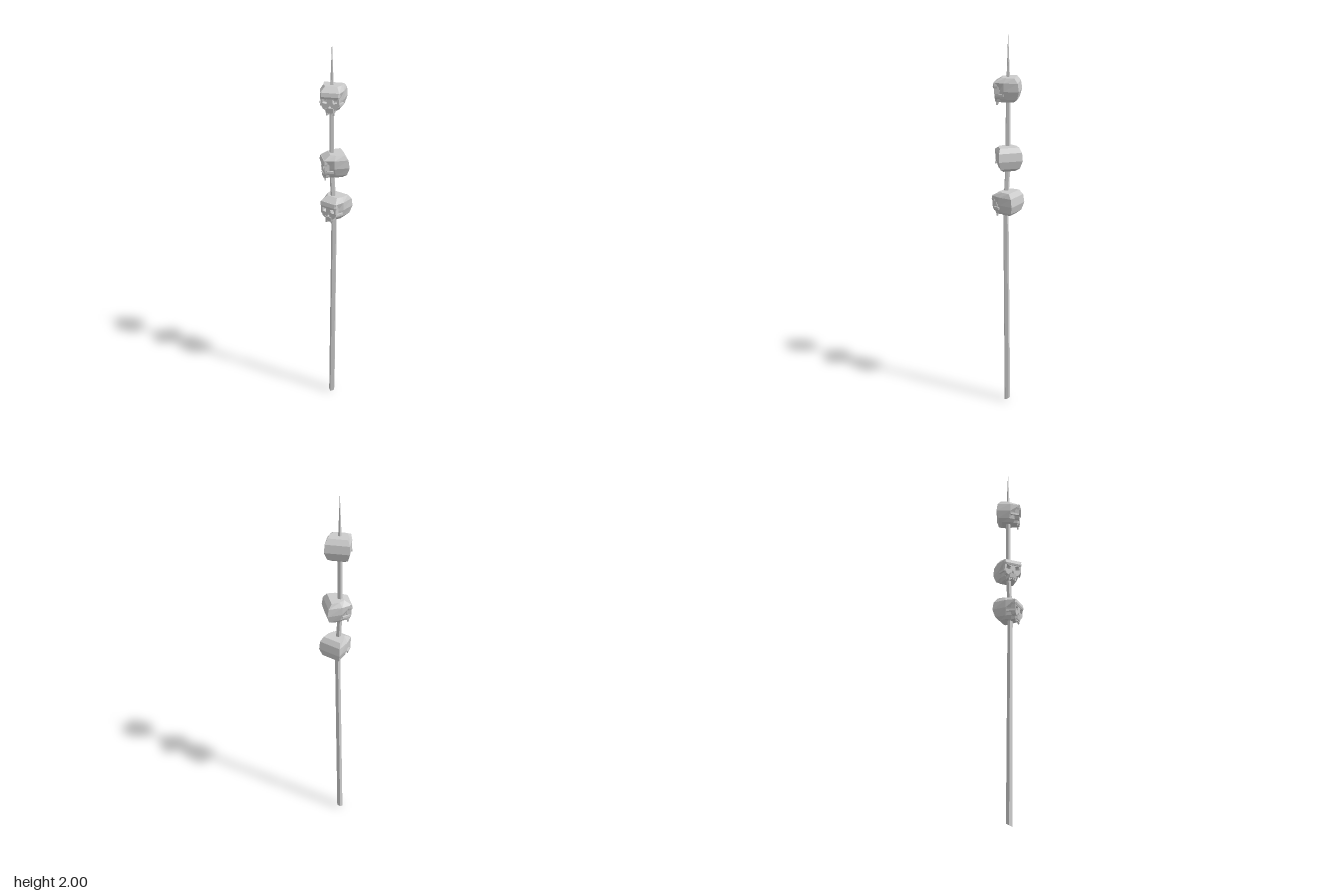
import * as THREE from 'three';

const bone = new THREE.MeshStandardMaterial({ color: 0xcccccc, flatShading: true, side: THREE.DoubleSide });

function add(parent, name, geometry, x = 0, y = 0, z = 0) {
  const mesh = new THREE.Mesh(geometry, bone);
  mesh.name = name;
  mesh.position.set(x, y, z);
  parent.add(mesh);
  return mesh;
}

// Closed solid through a stack of rings, given bottom to top, counterclockwise from above
function loft(rings) {
  const n = rings[0].length, pos = [];
  const tri = (...pts) => pts.forEach((p) => pos.push(...p));
  const middle = (ring) => [0, 1, 2].map((k) => ring.reduce((s, p) => s + p[k], 0) / n);
  const low = rings[0], high = rings[rings.length - 1];
  const lowMid = middle(low), highMid = middle(high);
  for (let j = 0; j < n; j++) {
    const k = (j + 1) % n;
    for (let i = 0; i + 1 < rings.length; i++) {
      const a = rings[i], b = rings[i + 1];
      tri(a[j], a[k], b[k]);
      tri(a[j], b[k], b[j]);
    }
    tri(lowMid, low[k], low[j]);
    tri(highMid, high[j], high[k]);
  }
  const g = new THREE.BufferGeometry();
  g.setAttribute('position', new THREE.Float32BufferAttribute(pos, 3));
  g.computeVertexNormals();
  return g;
}

// Six-sided mirrored ring: front, middle and back half widths with their depths
const headRing = (y, fw, fz, mw, mz, bw, bz) => [
  [fw, y, fz], [mw, y, mz], [bw, y, bz], [-bw, y, bz], [-mw, y, mz], [-fw, y, fz],
];

const polygon = (Type, pts) => new Type(pts.map(([x, y]) => new THREE.Vector2(x, y)));

// Face plate with eye sockets and a nose opening, leaning back toward the jaw
function faceGeometry() {
  const shape = polygon(THREE.Shape, [
    [-0.047, 0.042], [-0.046, -0.012], [-0.036, -0.036], [-0.024, -0.044],
    [0.024, -0.044], [0.036, -0.036], [0.046, -0.012], [0.047, 0.042],
  ]);
  for (const s of [-1, 1]) {
    shape.holes.push(polygon(THREE.Path, [
      [s * 0.012, 0.008], [s * 0.035, 0.014], [s * 0.037, -0.008], [s * 0.016, -0.012],
    ]));
  }
  shape.holes.push(polygon(THREE.Path, [[0, -0.014], [0.008, -0.032], [-0.008, -0.032]]));
  const g = new THREE.ExtrudeGeometry(shape, { depth: 0.026, bevelEnabled: false });
  const p = g.attributes.position;
  for (let i = 0; i < p.count; i++) {
    p.setZ(i, p.getZ(i) + 0.036 + 0.06 * (p.getY(i) - 0.042));
  }
  g.computeVertexNormals();
  return g;
}

function makeSkull(name, x, y, z, yaw) {
  const skull = new THREE.Group();
  skull.name = name;
  skull.position.set(x, y, z);
  skull.rotation.y = yaw;

  add(skull, 'cranium', loft([
    headRing(-0.056, 0.024, 0.025, 0.034, 0, 0.032, -0.036),
    headRing(-0.04, 0.034, 0.04, 0.046, 0.002, 0.05, -0.055),
    headRing(0.0, 0.041, 0.045, 0.059, 0.01, 0.062, -0.066),
    headRing(0.042, 0.047, 0.062, 0.06, 0.01, 0.06, -0.06),
    headRing(0.066, 0.03, 0.026, 0.046, 0, 0.05, -0.042),
  ].map((ring, i) => (i === 2 || i === 1)
    // hollow the front behind the eye sockets
    ? ring.map(([px, py, pz]) => [px, py, pz > 0.03 ? 0.034 : pz]) : ring)));
  add(skull, 'face', faceGeometry());

  // Brow ridge
  add(skull, 'brow', loft([
    headRing(0.014, 0.04, 0.064, 0.047, 0.058, 0.047, 0.045),
    headRing(0.024, 0.042, 0.067, 0.049, 0.059, 0.049, 0.045),
    headRing(0.044, 0.043, 0.062, 0.048, 0.058, 0.048, 0.045),
  ]));

  // Upper jaw with a few teeth
  add(skull, 'upperJaw', loft([
    headRing(-0.058, 0.016, 0.058, 0.024, 0.046, 0.022, 0.01),
    headRing(-0.034, 0.017, 0.062, 0.027, 0.05, 0.03, 0.01),
  ]));
  for (const tx of [-0.017, -0.006, 0.006, 0.017]) {
    const long = Math.abs(tx) > 0.01 ? 0.016 : 0.01;
    add(skull, 'tooth', new THREE.BoxGeometry(0.008, long, 0.008), tx, -0.056 - long / 2, 0.049);
  }

  // Cheekbones sweeping back along each side
  for (const s of [-1, 1]) {
    const cheek = add(skull, 'cheekbone', new THREE.BoxGeometry(0.008, 0.011, 0.046), s * 0.05, -0.018, 0.034);
    cheek.rotation.y = -s * 0.3;
  }
  return skull;
}

// Slightly crooked five-sided pole, sharpened to a spike, with a slanted foot
function makePole() {
  const stations = [
    [0, -0.007, 0.01, 0.016], [1.08, 0.008, 0.008, 0.0145], [1.2, 0.003, 0.008, 0.0135],
    [1.35, -0.008, 0.007, 0.013], [1.7, -0.008, 0.006, 0.012], [1.79, -0.008, 0.005, 0.009],
    [2, -0.008, 0.005, 0.0005],
  ];
  return loft(stations.map(([y, x, z, r]) => Array.from({ length: 5 }, (_, i) => {
    const a = (i / 5) * Math.PI * 2 + 0.2;
    const slant = y === 0 ? (1 - Math.cos(a)) * 0.009 : 0;
    return [x + r * Math.sin(a), y + slant, z + r * Math.cos(a)];
  })));
}

export function createModel() {
  const model = new THREE.Group();
  model.name = 'skullPole';
  add(model, 'pole', makePole());
  model.add(makeSkull('topSkull', -0.004, 1.73, 0.007, 0.5));
  model.add(makeSkull('middleSkull', 0.003, 1.38, 0.002, -0.65));
  model.add(makeSkull('lowerSkull', 0.008, 1.148, 0.0, 0.08));
  return model;
}
